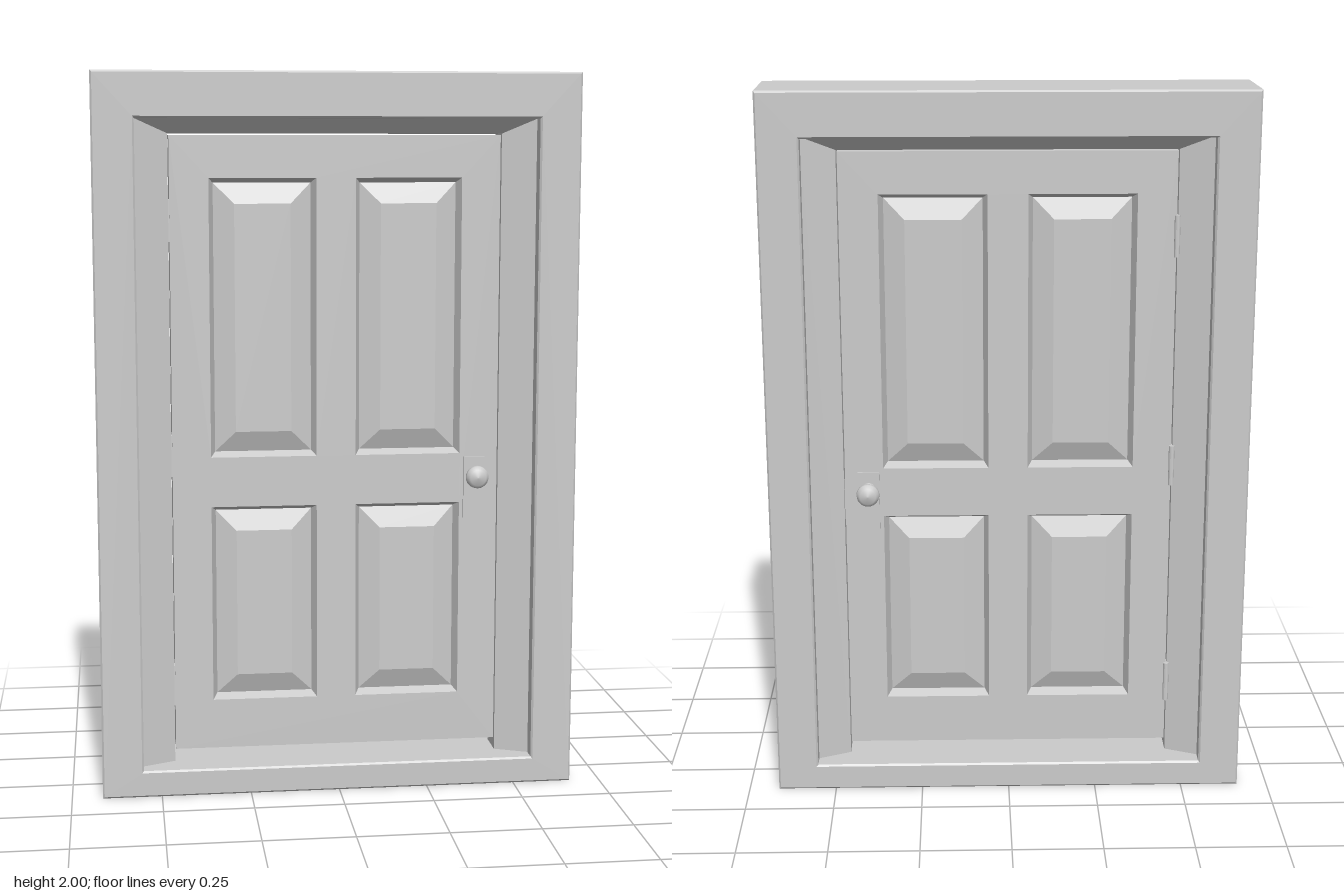
import * as THREE from 'three';

const material = new THREE.MeshStandardMaterial({ color: 0xcccccc, flatShading: true });
const smoothMaterial = new THREE.MeshStandardMaterial({ color: 0xcccccc });

const DOOR_Z = 0.045; // half the door thickness

function add(parent, name, geometry, x = 0, y = 0, z = 0, mat = material) {
  const mesh = new THREE.Mesh(geometry, mat);
  mesh.name = name;
  mesh.position.set(x, y, z);
  parent.add(mesh);
  return mesh;
}

function rect(Type, x0, y0, x1, y1) {
  return new Type([[x0, y0], [x1, y0], [x1, y1], [x0, y1]].map(([x, y]) => new THREE.Vector2(x, y)));
}

// Rectangular board with rectangular holes, centred on z = 0
function board(outer, holes, depth, bevel) {
  const shape = rect(THREE.Shape, ...outer);
  holes.forEach(h => shape.holes.push(rect(THREE.Path, ...h)));
  const geometry = new THREE.ExtrudeGeometry(shape, {
    depth: depth - 2 * bevel, bevelEnabled: bevel > 0, bevelSize: bevel,
    bevelThickness: bevel, bevelOffset: -bevel, bevelSegments: 1,
  });
  return geometry.translate(0, 0, bevel - depth / 2);
}

// Raised panel made of nested rectangles; each ring is [inset, z]
function raisedPanel(w, h, rings) {
  const positions = [], index = [];
  rings.forEach(([inset, z]) => {
    const a = w / 2 - inset, b = h / 2 - inset;
    positions.push(-a, -b, z, a, -b, z, a, b, z, -a, b, z);
  });
  for (let r = 0; r < rings.length - 1; r++) {
    for (let i = 0; i < 4; i++) {
      const p = r * 4 + i, q = r * 4 + (i + 1) % 4;
      index.push(p, q, q + 4, p, q + 4, p + 4);
    }
  }
  const c = (rings.length - 1) * 4;
  index.push(c, c + 1, c + 2, c, c + 2, c + 3);
  const geometry = new THREE.BufferGeometry();
  geometry.setAttribute('position', new THREE.Float32BufferAttribute(positions, 3));
  geometry.setIndex(index);
  const flat = geometry.toNonIndexed();
  flat.computeVertexNormals();
  return flat;
}

// Splayed jamb section, from the wide base to the narrow inner face
function splay(rise, length) {
  const shape = new THREE.Shape([
    new THREE.Vector2(0, -0.085), new THREE.Vector2(rise, -DOOR_Z),
    new THREE.Vector2(rise, DOOR_Z), new THREE.Vector2(0, 0.085),
  ]);
  return new THREE.ExtrudeGeometry(shape, { depth: length, bevelEnabled: false })
    .translate(0, 0, -length / 2);
}

export function createModel() {
  const model = new THREE.Group();
  model.name = 'doorway';

  // Outer frame with sill
  add(model, 'frame', board([-0.665, 0, 0.665, 2], [[-0.55, 0.075, 0.55, 1.875]], 0.26, 0.005));

  // Splayed jambs and head
  const jamb = splay(0.09, 1.8).rotateX(-Math.PI / 2);
  add(model, 'rightJamb', jamb, -0.55, 0.975, 0);
  add(model, 'leftJamb', jamb, 0.55, 0.975, 0).rotation.y = Math.PI;
  const head = splay(0.04, 1.1).rotateX(-Math.PI / 2).rotateZ(-Math.PI / 2);
  add(model, 'headJamb', head, 0, 1.875, 0);

  // Door leaf with four openings
  const door = new THREE.Group();
  door.name = 'door';
  model.add(door);
  const openings = [];
  for (const [y0, y1] of [[0.25, 0.805], [0.945, 1.715]]) {
    openings.push([-0.35, y0, -0.055, y1], [0.055, y0, 0.35, y1]);
  }
  add(door, 'doorLeaf', board([-0.457, 0.11, 0.457, 1.831], openings, 2 * DOOR_Z, 0));

  // Raised panels on both faces
  const rings = [[0, DOOR_Z], [0.013, 0.015], [0.07, 0.037]];
  for (const [x0, y0, x1, y1] of openings) {
    const geometry = raisedPanel(x1 - x0, y1 - y0, rings);
    for (const turn of [0, Math.PI]) {
      add(door, 'panel', geometry, (x0 + x1) / 2, (y0 + y1) / 2, 0).rotation.y = turn;
    }
  }

  // Knob and its plate on both faces
  const profile = [[0.02, 0], [0.02, 0.008], [0.013, 0.012], [0.013, 0.03], [0.026, 0.036],
    [0.032, 0.046], [0.031, 0.056], [0.022, 0.066], [0, 0.07]];
  const knob = new THREE.LatheGeometry(profile.map(p => new THREE.Vector2(...p)), 24).rotateX(Math.PI / 2);
  for (const side of [1, -1]) {
    const turn = side > 0 ? 0 : Math.PI;
    add(door, 'lockPlate', new THREE.BoxGeometry(0.06, 0.175, 0.008), 0.391, 0.848, side * (DOOR_Z + 0.003));
    add(door, 'knob', knob, 0.391, 0.885, side * (DOOR_Z + 0.006), smoothMaterial).rotation.y = turn;
  }
  add(door, 'latchPlate', new THREE.BoxGeometry(0.004, 0.115, 0.05), 0.458, 0.848, 0);

  // Hinges: leaf in the gap, knuckle on the back
  for (const y of [0.293, 0.95, 1.6]) {
    add(door, 'hingeLeaf', new THREE.BoxGeometry(0.004, 0.115, 0.085), -0.458, y, -0.002);
    add(door, 'hingeKnuckle', new THREE.CylinderGeometry(0.008, 0.008, 0.115, 12), -0.458, y, -0.05);
  }
  return model;
}
